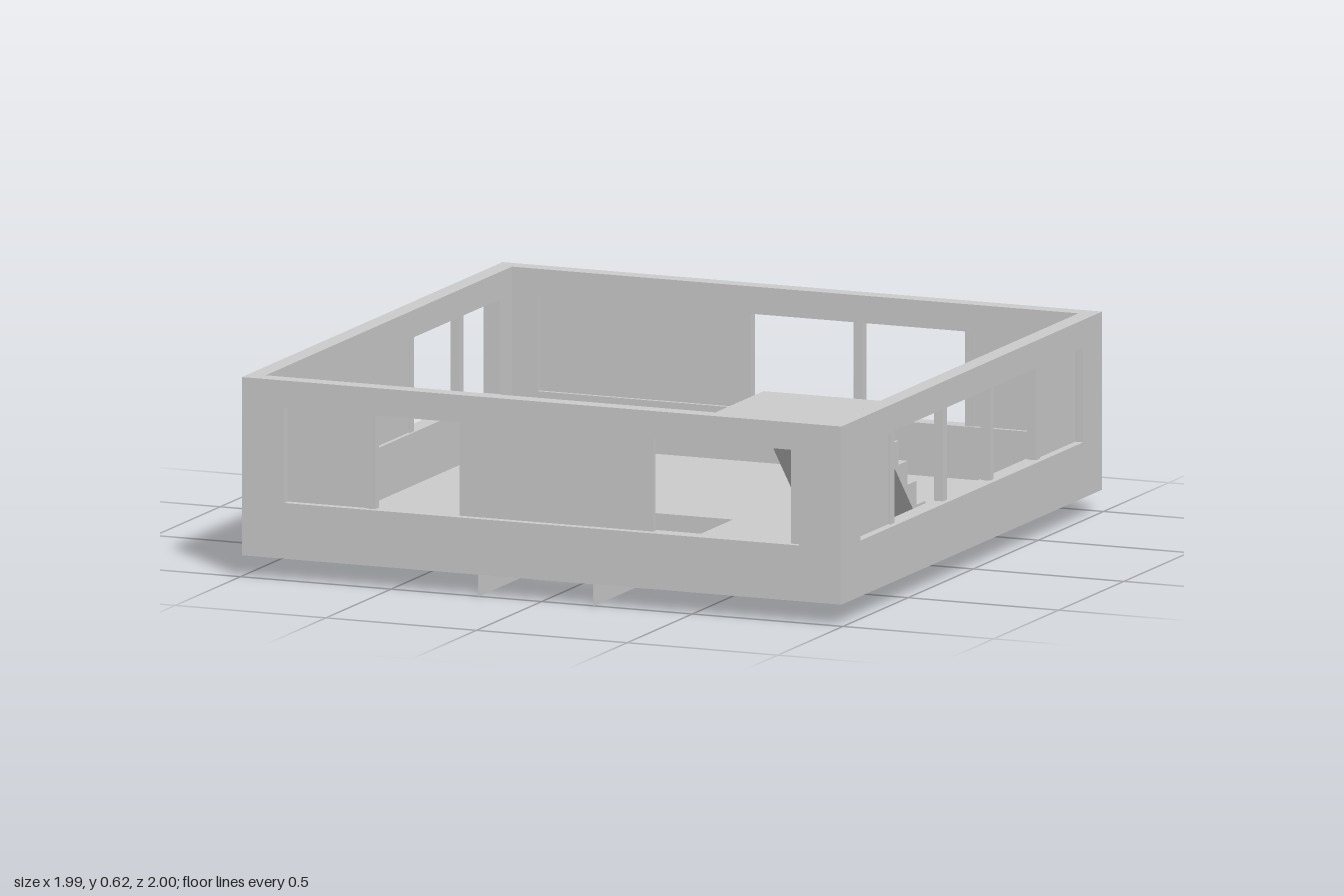
import * as THREE from 'three';

const material = new THREE.MeshStandardMaterial({ color: 0xcccccc, flatShading: true });
const HALF_X = 0.995, HALF_Z = 1, THICK = 0.055;
const BASE = 0.067, TOP = 0.62, SILL = 0.24, HEAD = 0.535, STRIP = 0.855;

function add(parent, name, geometry) {
  const mesh = new THREE.Mesh(geometry, material);
  mesh.name = name;
  parent.add(mesh);
  return mesh;
}

// Box given by its limits on each axis
function box(parent, name, x0, x1, y0, y1, z0, z1) {
  const mesh = add(parent, name, new THREE.BoxGeometry(x1 - x0, y1 - y0, z1 - z0));
  mesh.position.set((x0 + x1) / 2, (y0 + y1) / 2, (z0 + z1) / 2);
  return mesh;
}

function polygon(points) {
  return points.map(([x, y]) => new THREE.Vector2(x, y));
}

function rectangle(x0, x1, y0, y1) {
  return polygon([[x0, y0], [x1, y0], [x1, y1], [x0, y1]]);
}

// Wall with a window strip; its outer face is local z = 0 and looks along +z
function wall(name, halfLength, panels, posts) {
  const group = new THREE.Group();
  group.name = name;
  const shape = new THREE.Shape(rectangle(-halfLength, halfLength, BASE, TOP));
  shape.holes.push(new THREE.Path(rectangle(-STRIP, STRIP, SILL, HEAD).reverse()));
  const shell = new THREE.ExtrudeGeometry(shape, { depth: THICK, bevelEnabled: false });
  add(group, 'wallShell', shell.translate(0, 0, -THICK));
  for (const [a, b] of panels) box(group, 'windowPanel', a, b, SILL, HEAD, -0.042, -0.027);
  for (const u of posts) box(group, 'windowPost', u - 0.015, u + 0.015, SILL, HEAD, -0.048, -0.018);
  return group;
}

export function createModel() {
  const model = new THREE.Group();
  model.name = 'buildingStorey';

  // Four outer walls, each turned to face outward
  const sideLength = HALF_Z - THICK;
  const front = wall('frontWall', HALF_X, [[-STRIP, -0.56], [-0.285, 0.36]], [-0.575, 0.835]);
  front.position.z = HALF_Z;
  const back = wall('backWall', HALF_X, [[-STRIP, -0.56], [0.165, STRIP]], [-0.575, -0.205, 0.165]);
  back.position.z = -HALF_Z;
  back.rotation.y = Math.PI;
  const left = wall('leftWall', sideLength, [[-STRIP, -0.55], [0.555, STRIP]], [-0.565, -0.165, 0.195, 0.55]);
  left.position.x = HALF_X;
  left.rotation.y = Math.PI / 2;
  const right = wall('rightWall', sideLength, [[-0.2, STRIP]], [-0.575, -0.195]);
  right.position.x = -HALF_X;
  right.rotation.y = -Math.PI / 2;
  model.add(front, back, left, right);

  // Floor slab with a long opening that reaches the front wall
  const inX = HALF_X - THICK, inZ = HALF_Z - THICK;
  const holeLeft = -0.208, holeRight = 0.17, holeBack = -0.075;
  const floor = new THREE.Shape(polygon([
    [-inX, -inZ], [holeLeft, -inZ], [holeLeft, -holeBack], [holeRight, -holeBack],
    [holeRight, -inZ], [inX, -inZ], [inX, inZ], [-inX, inZ],
  ]));
  const slab = new THREE.ExtrudeGeometry(floor, { depth: 0.007, bevelEnabled: false });
  add(model, 'floor', slab.rotateX(-Math.PI / 2).translate(0, 0.069, 0));

  // Thin beams hanging below the floor
  box(model, 'longBeam', holeLeft - 0.004, holeLeft, 0, 0.07, -HALF_Z, HALF_Z);
  box(model, 'longBeam', holeRight, holeRight + 0.004, 0, 0.07, -HALF_Z, HALF_Z);
  box(model, 'crossBeam', holeLeft, holeRight, 0, 0.07, holeBack - 0.004, holeBack);

  // Stair and landing: a stepped side profile (z, y) extruded across x
  const run = 0.0695, rise = 0.0745, steps = 7, landingZ = 0.575;
  const profile = [[0.14, 0.043], [0.605, 0.54], [inZ, 0.54], [inZ, TOP], [landingZ, TOP]];
  for (let i = 1; i <= steps; i++) {
    const y = TOP - i * rise;
    profile.push([landingZ - (i - 1) * run, y], [landingZ - i * run, y]);
  }
  profile.push([landingZ - steps * run, 0.043]);
  const stair = new THREE.ExtrudeGeometry(new THREE.Shape(polygon(profile)), {
    depth: inX - 0.553, bevelEnabled: false,
  });
  add(model, 'staircase', stair.rotateY(-Math.PI / 2).translate(inX, 0, 0));

  return model;
}
